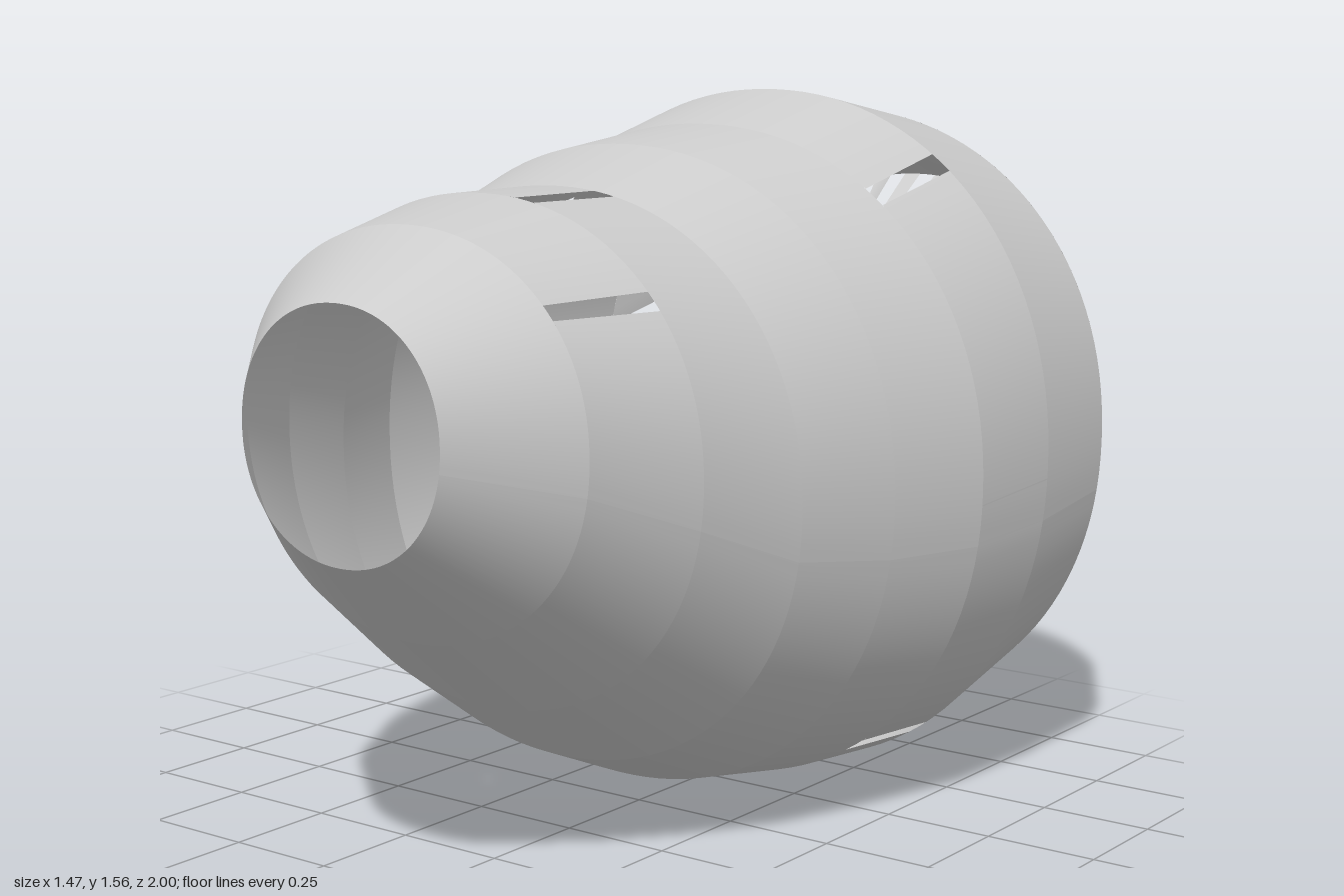
import * as THREE from 'three';

const material = new THREE.MeshStandardMaterial({ color: 0xcccccc, side: THREE.DoubleSide });
const RAD = Math.PI / 180;

// Cross-sections from front to back: z, left x, right x, bottom y, top y
const sections = [
  [1, -0.195, 0.31, 0.72, 1.22],
  [0.75, -0.44, 0.455, 0.52, 1.345],
  [0.5, -0.57, 0.535, 0.33, 1.39],
  [0.25, -0.65, 0.595, 0.165, 1.39],
  [0, -0.74, 0.655, 0.06, 1.465],
  [-0.25, -0.74, 0.717, 0.025, 1.5],
  [-0.5, -0.74, 0.735, 0.005, 1.57],
  [-0.75, -0.67, 0.735, 0.095, 1.52],
  [-1, -0.41, 0.6, 0.24, 1.355],
];

// Window slots: band index, centre angle, half width (degrees)
const slots = [
  [1, 39.5, 2.4], [2, 78.3, 2.5], [3, 244, 2.2],
  [5, 52.7, 2.1], [5, 358.5, 1.5], [5, 304.5, 2],
  [5, 142, 1.9], [5, 148.5, 1.9], [5, 156.5, 1.9], [5, 171, 1.9],
];

// Point on a section's slightly squared ellipse; inset moves it inwards
function pointOn([z, x0, x1, y0, y1], degrees, inset = 0) {
  const c = Math.cos(degrees * RAD), s = Math.sin(degrees * RAD);
  const k = Math.pow(Math.abs(c) ** 2.1 + Math.abs(s) ** 2.1, -1 / 2.1);
  return [
    (x0 + x1) / 2 + ((x1 - x0) / 2 - inset) * c * k,
    (y0 + y1) / 2 + ((y1 - y0) / 2 - inset) * s * k,
    z,
  ];
}

function surface(name, positions, index) {
  const geometry = new THREE.BufferGeometry();
  geometry.setAttribute('position', new THREE.Float32BufferAttribute(positions, 3));
  geometry.setIndex(index);
  geometry.computeVertexNormals();
  const mesh = new THREE.Mesh(geometry, material);
  mesh.name = name;
  return mesh;
}

// One ring of the shell with its slots left open
function shellBand(b) {
  const cuts = slots.filter(s => s[0] === b);
  const angles = [];
  for (let i = 0; i <= 120; i++) angles.push(-10 + i * 3);
  for (const [, mid, half] of cuts) angles.push(mid - half, mid + half);
  angles.sort((p, q) => p - q);
  const positions = [], index = [];
  angles.forEach((a, i) => {
    positions.push(...pointOn(sections[b], a), ...pointOn(sections[b + 1], a));
    if (i === angles.length - 1) return;
    const mid = (a + angles[i + 1]) / 2;
    if (cuts.some(s => Math.abs(mid - s[1]) < s[2])) return;
    const n = i * 2;
    index.push(n, n + 1, n + 2, n + 2, n + 1, n + 3);
  });
  return surface('shellBand', positions, index);
}

// Rear ring, narrowing to leave a V-shaped notch on one side
function rearBand() {
  const positions = [], index = [], count = 100;
  for (let i = 0; i <= count; i++) {
    const t = i / count;
    positions.push(
      ...pointOn(sections[7], THREE.MathUtils.lerp(-175, 168, t)),
      ...pointOn(sections[8], THREE.MathUtils.lerp(-158, 135, t)));
    const n = i * 2;
    if (i < count) index.push(n, n + 1, n + 2, n + 2, n + 1, n + 3);
  }
  return surface('rearBand', positions, index);
}

// Flat fins folding inwards from the rear rim
function rearFins() {
  const group = new THREE.Group();
  group.name = 'rearFins';
  const rim = sections[8];
  const inner = [-0.8, ...rim.slice(1)];
  const count = 31;
  for (let i = 0; i < count; i++) {
    const a = -156 + (i + 0.5) * 290 / count;
    const tilt = i % 2 ? 0.03 : 0;
    group.add(surface('fin', [
      ...pointOn(rim, a - 2.4), ...pointOn(rim, a + 2.4),
      ...pointOn(inner, a + 2.4, 0.14 + tilt), ...pointOn(inner, a - 2.4, 0.14),
    ], [0, 1, 2, 0, 2, 3]));
  }
  return group;
}

export function createModel() {
  const model = new THREE.Group();
  model.name = 'slottedShell';
  for (let b = 0; b < 7; b++) model.add(shellBand(b));
  model.add(rearBand(), rearFins());
  return model;
}
